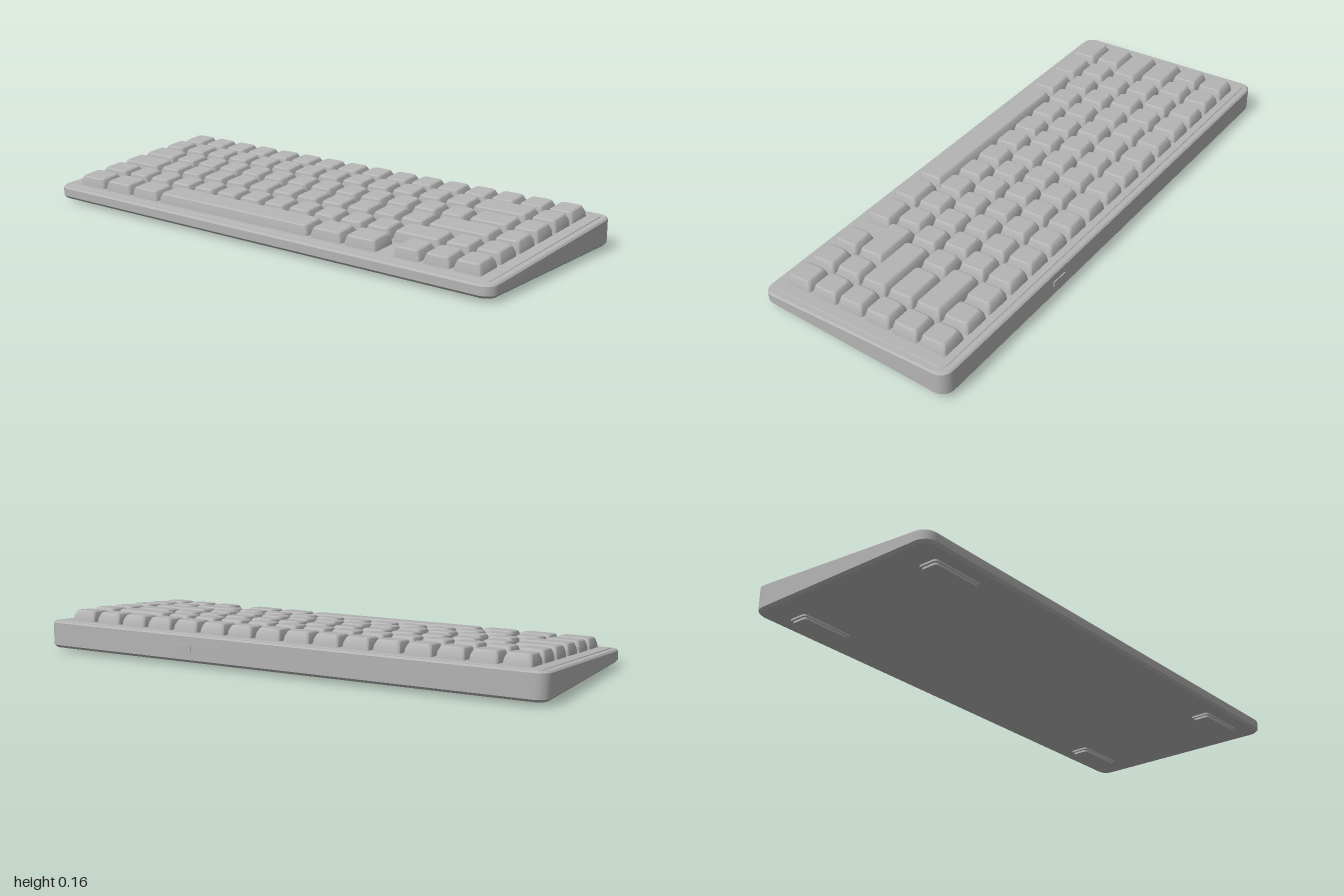
import * as THREE from 'three';
import { toCreasedNormals } from 'three/addons/utils/BufferGeometryUtils.js';

const grey = new THREE.MeshStandardMaterial({ color: 0xb4b4b4 });
grey.name = 'grey plastic';

const UNIT = 0.117;                       // key pitch
const deckY = (z) => 0.092 - 0.0705 * z;  // sloped deck height

// Rounded rectangle outline, counterclockwise from above; y is a function of z
function ring(x0, x1, z0, z1, r, y) {
  const pts = [];
  const corners = [[x1 - r, z0 + r], [x0 + r, z0 + r], [x0 + r, z1 - r], [x1 - r, z1 - r]];
  corners.forEach(([cx, cz], k) => {
    for (let i = 0; i <= 4; i++) {
      const a = (k + i / 4) * Math.PI / 2;
      const z = cz - r * Math.sin(a);
      pts.push(new THREE.Vector3(cx + r * Math.cos(a), y(z), z));
    }
  });
  return pts;
}

// Skin a stack of rings from bottom to top and close both ends
function loft(rings) {
  const pos = [];
  const tri = (...ps) => ps.forEach((p) => pos.push(p.x, p.y, p.z));
  const n = rings[0].length;
  const centre = (pts) => pts.reduce((s, p) => s.add(p), new THREE.Vector3()).divideScalar(n);
  const bottom = rings[0], top = rings[rings.length - 1];
  const cb = centre(bottom), ct = centre(top);
  for (let i = 0; i < n; i++) {
    const j = (i + 1) % n;
    for (let k = 0; k + 1 < rings.length; k++) {
      const lo = rings[k], hi = rings[k + 1];
      tri(lo[i], lo[j], hi[j]);
      tri(lo[i], hi[j], hi[i]);
    }
    tri(cb, bottom[j], bottom[i]);
    tri(ct, top[i], top[j]);
  }
  const g = new THREE.BufferGeometry();
  g.setAttribute('position', new THREE.Float32BufferAttribute(pos, 3));
  return toCreasedNormals(g, 0.5);
}

function addMesh(parent, name, geometry) {
  const m = new THREE.Mesh(geometry, grey);
  m.name = name;
  parent.add(m);
  return m;
}

// Ring centred on the origin, drawn in by an inset
const caseRing = (inset, y) =>
  ring(-1 + inset, 1 - inset, -0.397 + inset, 0.397 - inset, Math.max(0.045 - inset, 0.015), y);

// Key cap: steep front, more sloped back, top tilted up towards the back
function keyGeometry(xc, zc, width, topY) {
  const hw = width / 2 - 0.006, hd = 0.0535;
  const top = (drop) => (z) => topY - drop - 0.09 * (z - zc + 0.035);
  const section = (side, front, back, r, y) =>
    ring(xc - hw + side, xc + hw - side, zc - hd + back, zc + hd - front, r, y);
  return loft([
    section(0, 0, 0, 0.01, (z) => deckY(z) - 0.003),
    section(0.003, 0.001, 0.004, 0.011, top(0.022)),
    section(0.01, 0.004, 0.013, 0.013, top(0.004)),
    section(0.015, 0.009, 0.018, 0.012, top(0)),
  ]);
}

const ones = (n) => Array(n).fill(1);
// Rows from back to front: centre z, top height, key widths (negative is a gap)
const ROWS = [
  { z: -0.289, y: 0.156, keys: ones(16) },
  { z: -0.173, y: 0.151, keys: [...ones(13), 2, 1] },
  { z: -0.056, y: 0.142, keys: [1.5, ...ones(12), 1.5, 1] },
  { z: 0.061, y: 0.133, keys: [1.75, ...ones(11), 2.25, 1] },
  { z: 0.177, y: 0.123, keys: [1.25, ...ones(11), 1.75, 1, 1] },
  { z: 0.294, y: 0.113, keys: [1.25, 1.25, 1.25, 6.25, 1.25, 1.25, -0.5, 1, 1, 1] },
];

export function createModel() {
  const model = new THREE.Group();
  model.name = 'keyboard';

  // Wedge case with bevelled edges and a slightly raised deck
  addMesh(model, 'case', loft([
    caseRing(0.01, () => 0.015),
    caseRing(0, () => 0.025),
    caseRing(0, (z) => deckY(z) - 0.009),
    caseRing(0.006, (z) => deckY(z) - 0.003),
    caseRing(0.026, (z) => deckY(z) - 0.003),
    caseRing(0.028, deckY),
  ]));

  // Keys, row by row
  const keys = new THREE.Group();
  keys.name = 'keys';
  model.add(keys);
  ROWS.forEach((row, r) => {
    const rowGroup = new THREE.Group();
    rowGroup.name = `keyRow${r + 1}`;
    keys.add(rowGroup);
    let x = -8 * UNIT;
    row.keys.forEach((units, i) => {
      const w = Math.abs(units) * UNIT;
      if (units > 0) addMesh(rowGroup, `key${i + 1}`, keyGeometry(x + w / 2, row.z, w, row.y));
      x += w;
    });
  });

  // Homing bars on two keys of the fourth row
  for (const u of [5.25, 8.25]) {
    const bar = addMesh(model, 'homingBar', new THREE.BoxGeometry(0.025, 0.004, 0.006));
    bar.position.set((u - 8) * UNIT, 0.1245, 0.088);
  }

  // Two-step rubber feet
  for (const sx of [-1, 1]) {
    for (const zc of [0.3, -0.295]) {
      const foot = (name, hw, hd, y0, y1) => addMesh(model, name, loft([y0, y1].map((y) =>
        ring(sx * 0.785 - hw, sx * 0.785 + hw, zc - hd, zc + hd, 0.012, () => y))));
      foot('footBase', 0.108, 0.038, 0.008, 0.016);
      foot('footPad', 0.1, 0.033, 0, 0.009);
    }
  }

  // Small switch on the back edge
  const slider = addMesh(model, 'backSwitch', new THREE.BoxGeometry(0.065, 0.022, 0.01));
  slider.position.set(0.375, 0.07, -0.396);

  return model;
}
